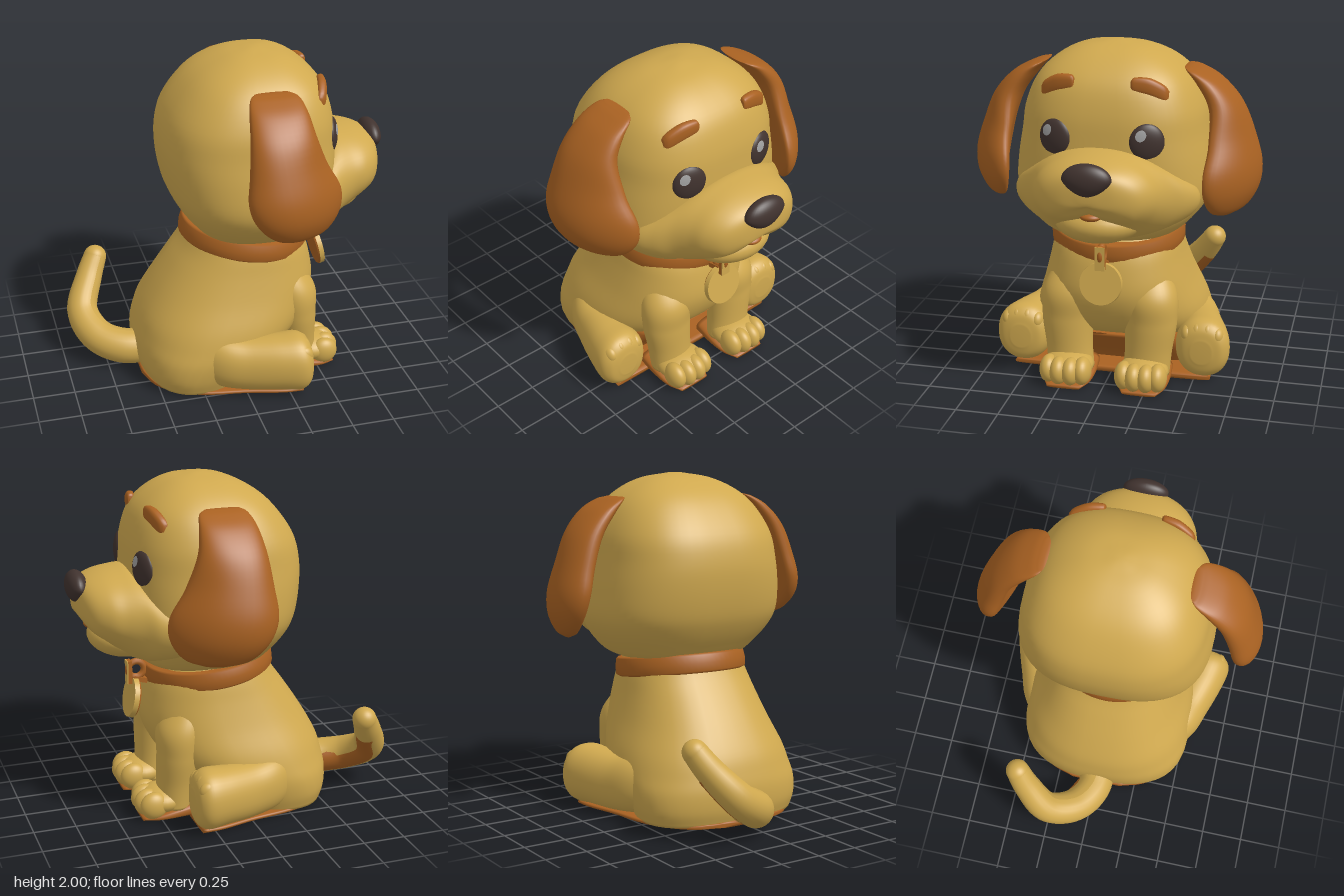
import * as THREE from 'three';

const mat = (name, color) => Object.assign(new THREE.MeshStandardMaterial({ color }), { name });
const V = (x, y, z) => new THREE.Vector3(x, y, z);
const X = V(1, 0, 0), Y = V(0, 1, 0), Z = V(0, 0, 1);
const { lerp, smoothstep, clamp } = THREE.MathUtils;

// Smooth closed skin through sections [cx, cy, cz, a, b]; u and v span each section.
function loft(sections, u, v, power = 2, rings = 40, sides = 40) {
  const first = sections[0], last = sections[sections.length - 1];
  const centres = new THREE.CatmullRomCurve3(sections.map(s => V(s[0], s[1], s[2])), false, 'catmullrom');
  const sizes = new THREE.CatmullRomCurve3(sections.map(s => V(s[3], s[4], 0)), false, 'catmullrom');
  const pos = [], index = [];
  const bend = c => Math.sign(c) * Math.pow(Math.abs(c), 2 / power);
  for (let i = -1; i <= rings + 1; i++) {
    const t = clamp(i / rings, 0, 1);
    const c = centres.getPoint(t), r = sizes.getPoint(t);
    const k = i < 0 || i > rings ? 0.001 : 1;
    for (let j = 0; j < sides; j++) {
      const g = j / sides * Math.PI * 2;
      const p = c.clone().addScaledVector(u, Math.max(0, r.x) * k * bend(Math.cos(g)))
        .addScaledVector(v, Math.max(0, r.y) * k * bend(Math.sin(g)));
      pos.push(p.x, p.y, p.z);
    }
  }
  // Choose the winding that faces outwards
  const along = V(last[0] - first[0], last[1] - first[1], last[2] - first[2]);
  const flip = u.clone().cross(v).dot(along) < 0;
  for (let i = 0; i < rings + 2; i++) for (let j = 0; j < sides; j++) {
    const a = i * sides + j, b = i * sides + (j + 1) % sides, c = a + sides, d = b + sides;
    if (flip) index.push(a, c, b, b, c, d);
    else index.push(a, b, c, b, d, c);
  }
  const geo = new THREE.BufferGeometry();
  geo.setAttribute('position', new THREE.Float32BufferAttribute(pos, 3));
  geo.setIndex(index);
  geo.computeVertexNormals();
  return geo;
}

// Rows [y, back x, front x, half width] to level sections
const level = rows => rows.map(([y, b, f, w]) => [(b + f) / 2, y, 0, (f - b) / 2, w]);
const onSide = (sections, s) => sections.map(([x, y, z, a, b]) => [x, y, z * s, a, b]);

function moveVertices(geo, rule) {
  const p = geo.attributes.position, q = new THREE.Vector3();
  for (let i = 0; i < p.count; i++) {
    rule(q.fromBufferAttribute(p, i), i);
    p.setXYZ(i, q.x, q.y, q.z);
  }
  geo.computeVertexNormals();
  return geo;
}

// Tube whose radius varies along its path
function taperTube(points, radius) {
  const path = new THREE.CatmullRomCurve3(points);
  return moveVertices(new THREE.TubeGeometry(path, 40, 1, 24), (p, i) => {
    const t = Math.floor(i / 25) / 40, c = path.getPointAt(t);
    p.sub(c).multiplyScalar(radius(t)).add(c);
  });
}

const headPower = 2.65;
const headRows = [
  [0.875, 0, 0.38, 0.2], [0.92, -0.17, 0.52, 0.37], [1.0, -0.25, 0.58, 0.47], [1.1, -0.32, 0.6, 0.545],
  [1.2, -0.365, 0.61, 0.575], [1.35, -0.395, 0.615, 0.565], [1.5, -0.4, 0.61, 0.54], [1.65, -0.365, 0.595, 0.515],
  [1.8, -0.265, 0.545, 0.445], [1.9, -0.155, 0.455, 0.345], [1.97, -0.01, 0.335, 0.205], [2.0, 0.13, 0.2, 0.04]];

// Front surface of the head at a given height and side
function headX(y, z) {
  const i = headRows.findIndex(r => r[0] > y), lo = headRows[i - 1], hi = headRows[i];
  const [, b, f, w] = lo.map((n, k) => lerp(n, hi[k], (y - lo[0]) / (hi[0] - lo[0])));
  return (b + f) / 2 + (f - b) / 2 * Math.pow(1 - Math.pow(Math.abs(z) / w, headPower), 1 / headPower);
}

export function createModel() {
  const fur = mat('golden fur', 0xd0a94f), brown = mat('russet brown', 0xaa6222);
  const dark = mat('dark brown', 0x41332f), shine = mat('eye shine', 0xa0a0a0);
  const model = new THREE.Group();
  model.name = 'sittingPuppy';

  const add = (name, geo, material, parent = model) => {
    const m = new THREE.Mesh(geo, material);
    m.name = name;
    parent.add(m);
    return m;
  };
  const ball = (name, material, x, y, z, rx, ry, rz, parent = model) => {
    const m = add(name, new THREE.SphereGeometry(1, 32, 20), material, parent);
    m.position.set(x, y, z);
    m.scale.set(rx, ry, rz);
    return m;
  };

  // Body, with a brown seat and a receding brown belly underneath
  add('body', loft(level([
    [0.015, -0.56, 0.05, 0.49], [0.1, -0.585, 0.1, 0.52], [0.2, -0.59, 0.22, 0.535], [0.29, -0.575, 0.38, 0.53],
    [0.4, -0.54, 0.47, 0.505], [0.55, -0.455, 0.52, 0.45], [0.7, -0.355, 0.505, 0.405], [0.82, -0.27, 0.465, 0.375],
    [0.95, -0.2, 0.38, 0.33]]), X, Z, 2.4), fur);
  add('seat', loft([[-0.57, 0.016, 0, 0.16, 0.016], [-0.5, 0.016, 0, 0.34, 0.016], [-0.3, 0.016, 0, 0.48, 0.016],
    [0, 0.016, 0, 0.54, 0.016], [0.2, 0.016, 0, 0.59, 0.016], [0.33, 0.016, 0, 0.6, 0.016]], Z, Y, 5, 24), brown);
  add('belly', loft(level([[0.01, -0.2, 0.16, 0.46], [0.1, -0.2, 0.22, 0.45], [0.27, -0.2, 0.375, 0.36]]), X, Z, 4, 10), brown);

  // Head, broad muzzle with a cleft lip, chin, mouth and nose
  add('head', loft(level(headRows), X, Z, headPower, 48, 56), fur);
  const muzzle = loft([
    [0.3, 1.16, 0, 0.5, 0.2], [0.42, 1.165, 0, 0.535, 0.215], [0.52, 1.185, 0, 0.48, 0.25], [0.6, 1.215, 0, 0.41, 0.265],
    [0.68, 1.235, 0, 0.365, 0.245], [0.77, 1.255, 0, 0.33, 0.21], [0.85, 1.265, 0, 0.265, 0.17],
    [0.895, 1.28, 0, 0.165, 0.115], [0.912, 1.29, 0, 0.04, 0.03]], Z, Y, 2.1, 44, 60);
  add('muzzle', moveVertices(muzzle, p => {
    const low = smoothstep(1.26 - p.y, 0, 0.14);
    p.y += 0.09 * low * smoothstep(p.x, 0.66, 0.8) * Math.max(0, 1 - Math.abs(p.z) / 0.24);
  }), fur);
  ball('chin', fur, 0.62, 1.075, 0, 0.215, 0.125, 0.25);
  ball('mouth', brown, 0.808, 1.15, 0, 0.05, 0.025, 0.06);
  add('nose', moveVertices(new THREE.SphereGeometry(1, 32, 24), p => {
    const taper = p.y < 0 ? 1 + 0.3 * p.y : 1;
    p.set(0.895 + p.x * 0.062, 1.383 + p.y * 0.092, p.z * 0.138 * taper);
  }), dark);

  for (const s of [1, -1]) {
    const side = s > 0 ? 'left' : 'right';

    // Eye with a curved highlight
    const eye = new THREE.Group();
    eye.name = side + 'Eye';
    eye.position.set(headX(1.515, 0.255) - 0.018, 1.515, s * 0.257);
    eye.rotation.y = -s * 0.3;
    model.add(eye);
    ball('eyeball', dark, 0, 0, 0, 0.04, 0.108, 0.1, eye);
    const glint = new THREE.SphereGeometry(1.03, 20, 6, 0, Math.PI * 2, 0, 0.32);
    glint.applyQuaternion(new THREE.Quaternion().setFromUnitVectors(Y, V(0.83, 0.42, 0.36).normalize()));
    add('eyeHighlight', glint.scale(0.04, 0.108, 0.1), shine, eye);

    // Brow hugging the forehead
    const brow = [[0.16, 1.82, 0.025], [0.18, 1.82, 0.042], [0.26, 1.808, 0.05], [0.335, 1.772, 0.045], [0.36, 1.757, 0.025]];
    add(side + 'Brow', loft(brow.map(([z, y, r]) => [headX(y, z), y, s * z, r * 0.6, r]), X, Y, 2.6, 16, 20), brown);

    // Hanging ear, curved around the cheek below its root
    const drop = s > 0 ? 1 : 1.05;
    const ear = [
      [0.155, 1.868, 0.42, 0.1, 0.02], [0.16, 1.85, 0.46, 0.14, 0.045], [0.16, 1.79, 0.54, 0.165, 0.075],
      [0.165, 1.67, 0.635, 0.19, 0.085], [0.19, 1.5, 0.7, 0.235, 0.09], [0.225, 1.35, 0.74, 0.285, 0.095],
      [0.25, 1.23, 0.745, 0.265, 0.088], [0.27, 1.13, 0.725, 0.18, 0.06], [0.285, 1.09, 0.705, 0.06, 0.02]];
    add(side + 'Ear', moveVertices(loft(onSide(ear, s), X, Z, 2.3), p => {
      const d = p.x - 0.2;
      p.z -= s * (0.22 * d + 0.9 * d * d) * smoothstep(1.85 - p.y, 0, 0.35);
      p.y = 1.87 + (p.y - 1.87) * drop;
    }), brown);

    // Front leg and paw with four toes
    const leg = [[0.26, 0.76, 0.2, 0.06, 0.08], [0.345, 0.56, 0.235, 0.14, 0.16], [0.37, 0.38, 0.25, 0.128, 0.155],
      [0.385, 0.2, 0.24, 0.115, 0.14], [0.4, 0.06, 0.228, 0.11, 0.14]];
    add(side + 'FrontLeg', loft(onSide(leg, s), X, Z), fur);
    ball(side + 'FrontPaw', fur, 0.475, 0.1, s * 0.225, 0.15, 0.083, 0.15);
    [-0.1, -0.036, 0.036, 0.1].forEach((dz, i) =>
      ball(side + 'FrontToe', fur, i % 3 ? 0.565 : 0.545, 0.094, s * 0.225 + dz, 0.083, 0.083, 0.055));
    const sole = [[0.27, 0.05, 0.225, 0.14, 0.05], [0.4, 0.038, 0.225, 0.15, 0.038], [0.52, 0.022, 0.225, 0.14, 0.022],
      [0.61, 0.01, 0.225, 0.1, 0.01]];
    add(side + 'FrontSole', loft(onSide(sole, s), Z, Y, 3, 16), brown);

    // Splayed hind leg with a round upturned foot
    const hind = [[-0.36, 0.22, 0.34, 0.06, 0.08], [-0.18, 0.21, 0.42, 0.135, 0.16], [0, 0.195, 0.48, 0.145, 0.168],
      [0.18, 0.203, 0.53, 0.155, 0.172], [0.3, 0.203, 0.548, 0.16, 0.178], [0.36, 0.2, 0.55, 0.125, 0.14],
      [0.38, 0.2, 0.55, 0.06, 0.07]];
    add(side + 'HindLeg', loft(onSide(hind, s), Z, Y, 2.2), fur);
    for (const dz of [-0.09, -0.03, 0.03, 0.09])
      ball(side + 'HindToe', fur, 0.312, 0.325 - Math.abs(dz) * 0.4, s * 0.548 + dz, 0.055, 0.055, 0.04);
  }

  // Tail curling to the right, with a round tip and a brown streak inside the curl
  const tailPoints = [V(-0.45, 0.12, 0), V(-0.64, 0.12, 0), V(-0.79, 0.16, -0.09),
    V(-0.86, 0.26, -0.25), V(-0.79, 0.42, -0.39), V(-0.735, 0.525, -0.455)];
  const tailRadius = t => 0.11 - 0.038 * t * t;
  add('tail', taperTube(tailPoints, tailRadius), fur);
  ball('tailTip', fur, -0.735, 0.525, -0.455, 0.072, 0.072, 0.072);
  const inward = V(0.6, -0.45, -0.65).multiplyScalar(0.021);
  add('tailStreak', taperTube(tailPoints.slice(1, 5).map(p => p.clone().add(inward)),
    t => tailRadius(0.22 + 0.6 * t) - 0.0165), brown);

  // Tilted collar band
  const band = [[0.3, -0.058], [0.385, -0.058], [0.397, -0.046], [0.398, 0], [0.39, 0.046], [0.38, 0.056], [0.3, 0.056]];
  const collar = add('collar', new THREE.LatheGeometry(band.map(([r, y]) => new THREE.Vector2(r, y)), 64), brown);
  collar.position.set(0.108, 0.86, 0);
  collar.scale.x = 0.98;
  collar.rotation.z = -0.135;

  // Brown ring and link, strap with a golden face, round tag with a brown back
  const ring = add('tagRing', new THREE.TorusGeometry(0.048, 0.02, 10, 28), brown);
  ring.position.set(0.55, 0.84, 0);
  const link = add('tagLink', new THREE.BoxGeometry(0.1, 0.03, 0.05), brown);
  link.position.set(0.52, 0.775, 0);
  link.rotation.z = 0.25;
  const strap = add('tagStrap', new THREE.BoxGeometry(0.024, 0.14, 0.056), brown);
  strap.position.set(0.592, 0.828, 0);
  const strapFace = add('tagStrapFace', new THREE.BoxGeometry(0.006, 0.14, 0.058), fur);
  strapFace.position.set(0.607, 0.828, 0);
  const tag = new THREE.Group();
  tag.name = 'tag';
  tag.position.set(0.583, 0.67, 0);
  tag.rotation.z = -Math.PI / 2 + 0.2;
  model.add(tag);
  add('tagDisc', new THREE.CylinderGeometry(0.122, 0.125, 0.03, 40), fur, tag);
  add('tagBack', new THREE.CylinderGeometry(0.124, 0.118, 0.009, 40).translate(0, -0.0195, 0), brown, tag);

  return model;
}
